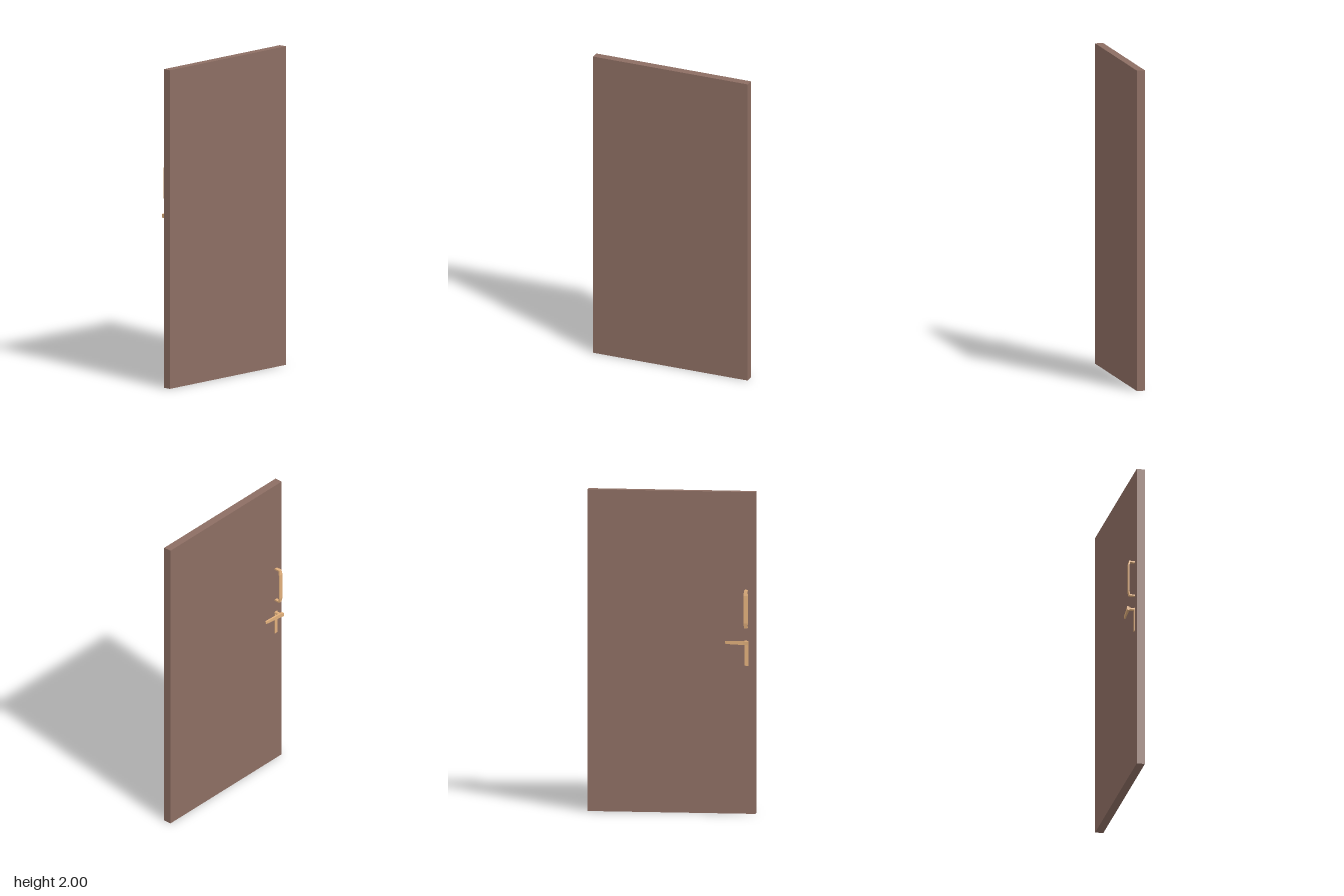
import * as THREE from 'three';

const brown = new THREE.MeshStandardMaterial({ color: 0x8d6e63 });
brown.name = 'brown door';
const brass = new THREE.MeshStandardMaterial({ color: 0xe2b07c });
brass.name = 'tan brass';

const HANDLE_X = -0.465;

function add(group, name, geometry, material, x = 0, y = 0, z = 0) {
  const mesh = new THREE.Mesh(geometry, material);
  mesh.name = name;
  mesh.position.set(x, y, z);
  group.add(mesh);
  return mesh;
}

// Joins four-cornered cross-sections into a closed bar with flat faces
function loft(sections) {
  const pos = [];
  const quad = (a, b, c, d) => pos.push(...a, ...b, ...c, ...a, ...c, ...d);
  for (let i = 0; i < sections.length - 1; i++) {
    const s = sections[i], t = sections[i + 1];
    for (let k = 0; k < 4; k++) {
      const n = (k + 1) % 4;
      quad(s[k], s[n], t[n], t[k]);
    }
  }
  const [a, b, c, d] = sections[0];
  quad(d, c, b, a);
  quad(...sections[sections.length - 1]);
  const g = new THREE.BufferGeometry();
  g.setAttribute('position', new THREE.Float32BufferAttribute(pos, 3));
  g.computeVertexNormals();
  return g;
}

// Section across a bar that runs upwards: half width, outer and inner depth
const upright = (y, w, zOut, zIn) =>
  [[-w, y, zIn], [w, y, zIn], [w, y, zOut], [-w, y, zOut]];

// Section across a lever that runs along x
const across = (x, h, zOut, zIn) =>
  [[x, -h, zOut], [x, h, zOut], [x, h, zIn], [x, -h, zIn]];

export function createModel() {
  const model = new THREE.Group();
  model.name = 'door';

  // Plain slab
  add(model, 'doorPanel', new THREE.BoxGeometry(1.04, 2, 0.051), brown, 0, 1, 0.0255);

  // Pull handle: two flat posts and a grip that narrows at its ends
  const pull = new THREE.Group();
  pull.name = 'pullHandle';
  for (const y of [1.161, 1.388]) {
    add(pull, 'pullPost', new THREE.BoxGeometry(0.02, 0.009, 0.036), brass, HANDLE_X, y, -0.018);
  }
  add(pull, 'pullGrip', loft([
    upright(1.157, 0.01, -0.037, -0.029),
    upright(1.19, 0.0135, -0.043, -0.036),
    upright(1.36, 0.0135, -0.043, -0.036),
    upright(1.392, 0.01, -0.037, -0.029),
  ]), brass, HANDLE_X, 0, 0);
  model.add(pull);

  // Lever handle: backplate, round spindle and tapered lever
  const lever = new THREE.Group();
  lever.name = 'leverHandle';
  add(lever, 'backplate', new THREE.BoxGeometry(0.026, 0.155, 0.004), brass, HANDLE_X, 0.998, -0.002);
  const spindle = new THREE.CylinderGeometry(0.01, 0.01, 0.038, 16).rotateX(Math.PI / 2);
  add(lever, 'spindle', spindle, brass, HANDLE_X, 1.067, -0.019);
  add(lever, 'leverArm', loft([
    across(-0.48, 0.012, -0.052, -0.036),
    across(-0.45, 0.012, -0.047, -0.034),
    across(-0.345, 0.009, -0.036, -0.026),
    across(-0.336, 0.007, -0.034, -0.027),
  ]), brass, 0, 1.067, 0);
  model.add(lever);

  return model;
}
